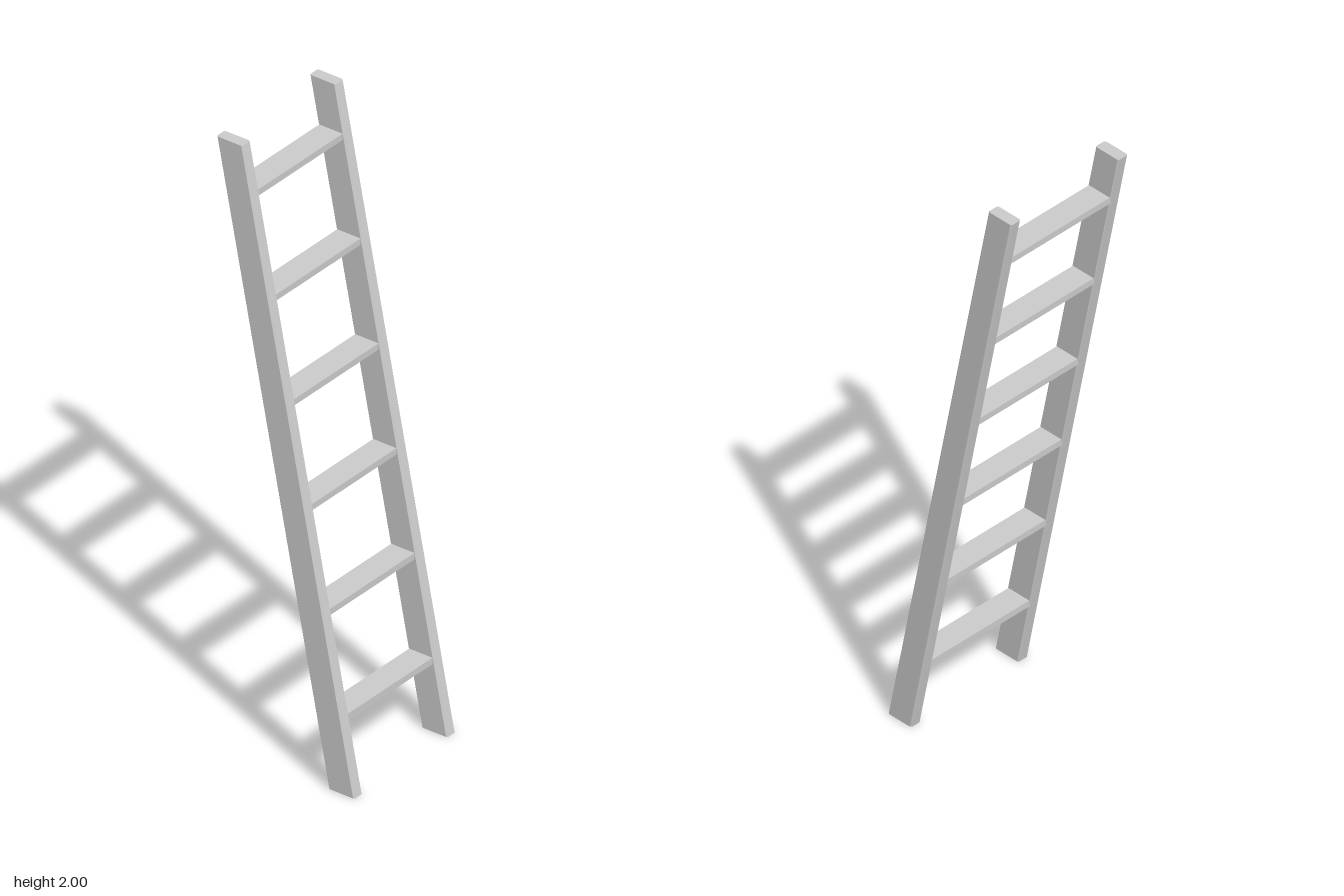
import * as THREE from 'three';

const HEIGHT = 2;
const LEAN = 0.4; // how far the top sits behind the foot
const material = new THREE.MeshStandardMaterial({ color: 0xcccccc, flatShading: true });

// Depth position of the rail's middle at a given height
const leanZ = (y) => LEAN / 2 - (LEAN * y) / HEIGHT;

// Side rail: a plank with chamfered corners, sheared so both ends stay level
function makeRail(x, name) {
  const w = 0.019, d = 0.046, c = 0.004;
  const outline = [
    [-w, -d + c], [-w + c, -d], [w - c, -d], [w, -d + c],
    [w, d - c], [w - c, d], [-w + c, d], [-w, d - c],
  ].map(([px, py]) => new THREE.Vector2(px, py));
  const geometry = new THREE.ExtrudeGeometry(new THREE.Shape(outline), {
    depth: HEIGHT, bevelEnabled: false,
  });
  geometry.rotateX(-Math.PI / 2);
  const pos = geometry.attributes.position;
  for (let i = 0; i < pos.count; i++) pos.setZ(i, pos.getZ(i) + leanZ(pos.getY(i)));
  geometry.computeVertexNormals();
  const rail = new THREE.Mesh(geometry, material);
  rail.position.x = x;
  rail.name = name;
  return rail;
}

export function createModel() {
  const ladder = new THREE.Group();
  ladder.name = 'ladder';

  ladder.add(makeRail(0.214, 'leftRail'), makeRail(-0.214, 'rightRail'));

  // Flat level treads between the rails
  const rungGeometry = new THREE.BoxGeometry(0.4, 0.021, 0.083);
  for (let i = 0; i < 6; i++) {
    const y = 0.232 + i * 0.3212;
    const rung = new THREE.Mesh(rungGeometry, material);
    rung.position.set(0, y, leanZ(y) - 0.002);
    rung.name = `rung${i + 1}`;
    ladder.add(rung);
  }
  return ladder;
}
